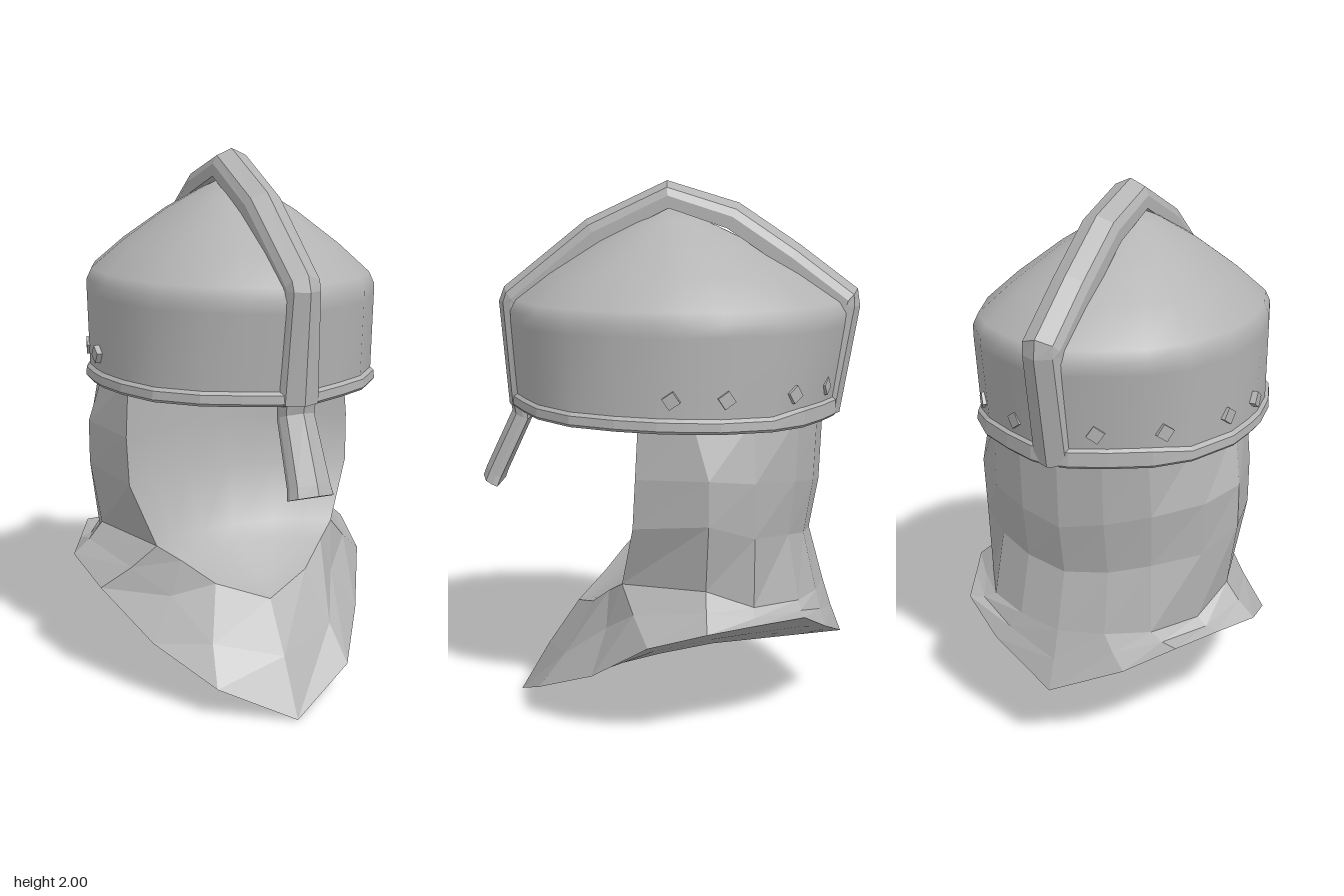
import * as THREE from 'three';
import { mergeVertices } from 'three/addons/utils/BufferGeometryUtils.js';

const steel = new THREE.MeshStandardMaterial({ color: 0xb3b3b3, side: THREE.DoubleSide });
steel.name = 'grey steel';

const mirror = ([x, y, z]) => [-x, y, z];
const lerp = (a, b, t) => a.map((v, i) => v + (b[i] - v) * t);
// Half outline on +x (front to back) made into a closed loop
const loop = (half) => [...half, ...half.slice(1, -1).reverse().map(mirror), half[0]];

// Surface through rows of points (rows run downward, columns run to the right)
function grid(rows, flat) {
  const pos = [];
  for (let i = 0; i < rows.length - 1; i++) {
    for (let j = 0; j < rows[i].length - 1; j++) {
      const a = rows[i][j], b = rows[i][j + 1], c = rows[i + 1][j + 1], d = rows[i + 1][j];
      pos.push(...a, ...d, ...b, ...b, ...d, ...c);
    }
  }
  let g = new THREE.BufferGeometry();
  g.setAttribute('position', new THREE.Float32BufferAttribute(pos, 3));
  if (!flat) g = mergeVertices(g, 1e-4);
  g.computeVertexNormals();
  return g;
}

// Ridged bar swept along a [z, y] path in the middle plane
function ridgedBar(path, widths, depth) {
  const rows = path.map(([z, y], i) => {
    const p = path[Math.max(i - 1, 0)], q = path[Math.min(i + 1, path.length - 1)];
    const tz = q[0] - p[0], ty = q[1] - p[1], l = Math.hypot(tz, ty);
    const w = widths[Math.min(i, widths.length - 1)];
    const at = (x, d) => [x, y + (tz / l) * d, z - (ty / l) * d];
    return [at(-w, depth), at(-w, 0.055), at(-w * 0.8, 0.025), at(0, 0),
      at(w * 0.8, 0.025), at(w, 0.055), at(w, depth), at(-w, depth)];
  });
  const cap = (row) => row.map(() => lerp(row[3], lerp(row[0], row[6], 0.5), 0.5));
  return grid([cap(rows[0]), ...rows, cap(rows[rows.length - 1])].reverse(), true);
}

export function createModel() {
  const model = new THREE.Group();
  const add = (name, geometry) => {
    const m = new THREE.Mesh(geometry, steel);
    m.name = name;
    model.add(m);
    return m;
  };

  // Helmet plan outline, [x, z] from front to back
  const plan = [[0, 0.6], [0.07, 0.58], [0.19, 0.52], [0.308, 0.45], [0.426, 0.315], [0.482, 0.15], [0.505, 0],
    [0.503, -0.1], [0.49, -0.23], [0.414, -0.42], [0.316, -0.53], [0.19, -0.605], [0.07, -0.66], [0, -0.67]];
  const ring = (s, y, back = 1) => loop(plan.map(([x, z]) => [x * s, y, z * s * (z < 0 ? back : 0.5 + back / 2)]));

  // Skull of the helmet: upright wall and a conical crown
  add('dome', grid([ring(0, 1.91), ring(0.2, 1.86), ring(0.45, 1.782), ring(0.75, 1.665), ring(0.965, 1.565),
    ring(1, 1.525), ring(1.003, 1.48, 0.99), ring(1, 1.19, 0.93)]));
  add('helmetUnderside', grid([ring(0.98, 1.19, 0.93), ring(0, 1.19)]));

  // Rim band along the lower edge, a little deeper at the back
  const rimRow = (s, y, rise) => ring(s, y, 0.93).map(([x, yy, z]) =>
    [x, yy + 0.015 * z + (z < -0.42 ? rise : 0), z]);
  add('rimBand', grid([rimRow(0.99, 1.212, 0.02), rimRow(1.025, 1.195, 0.02), rimRow(1.03, 1.165, 0),
    rimRow(1.015, 1.155, 0), rimRow(0.94, 1.16, 0), rimRow(0.94, 1.2, 0)], true));

  // Crest from brow to nape, and the nose guard
  add('crest', ridgedBar([[0.605, 1.165], [0.636, 1.555], [0.615, 1.61], [0.3, 1.86], [0, 2], [-0.265, 1.92],
    [-0.49, 1.77], [-0.705, 1.61], [-0.715, 1.545], [-0.65, 1.147]],
  [0.078, 0.062, 0.064, 0.07, 0.072, 0.072, 0.07, 0.07, 0.07, 0.075], 0.1));
  add('noseGuard', ridgedBar([[0.715, 0.882], [0.7, 0.92], [0.595, 1.14], [0.605, 1.19]],
    [0.084, 0.078, 0.066, 0.07], 0.075));

  // Rivets above the rim
  for (const side of [1, -1]) {
    for (const [x, z, turn] of [[0.508, -0.05, 1.55], [0.477, -0.235, 1.85], [0.345, -0.465, 2.3], [0.15, -0.58, 2.75]]) {
      const r = add('rivet', new THREE.BoxGeometry(0.046, 0.046, 0.035));
      r.rotation.order = 'YXZ';
      r.position.set(side * x, 1.27, z);
      r.rotation.set(0, side * turn, side * 0.6);
    }
  }

  // Neck columns of the hood, from the face opening to the nape
  const neck = [
    [[0.44, 1.19, 0.07], [0.455, 0.98, 0.08], [0.45, 0.8, 0.09], [0.365, 0.57, 0.138]],
    [[0.47, 1.19, -0.12], [0.513, 0.99, -0.18], [0.513, 0.83, -0.18], [0.475, 0.585, -0.17]],
    [[0.41, 1.19, -0.33], [0.45, 0.97, -0.34], [0.44, 0.77, -0.34], [0.43, 0.515, -0.34]],
    [[0.3, 1.19, -0.49], [0.31, 0.95, -0.48], [0.3, 0.75, -0.46], [0.32, 0.51, -0.5]],
    [[0.16, 1.19, -0.56], [0.16, 0.92, -0.55], [0.16, 0.72, -0.52], [0.17, 0.5, -0.57]],
    [[0, 1.19, -0.588], [0, 0.89, -0.578], [0, 0.7, -0.546], [0, 0.49, -0.604]],
  ];
  const neckAll = [...neck, ...neck.slice(0, -1).reverse().map((c) => c.map(mirror))];
  add('hoodNeck', grid([0, 1, 2, 3].map((r) => neckAll.map((c) => c[r])), true));

  // Flared collar: top, middle and edge of each column, front to back
  const edges = [[0.55, 0.395, 0.03], [0.588, 0.465, -0.18], [0.51, 0.473, -0.34],
    [0.424, 0.48, -0.52], [0.26, 0.39, -0.605], [0, 0.28, -0.678]];
  const chin = [
    [[0, 0.38, 0.35], [0, 0.2, 0.47], [0, 0, 0.585]],
    [[0.185, 0.44, 0.27], [0.24, 0.25, 0.37], [0.265, 0.12, 0.47]],
    [[0.29, 0.52, 0.195], [0.335, 0.39, 0.2], [0.424, 0.235, 0.245]],
  ];
  const collar = [...chin, ...neck.map((c, i) => {
    const mid = lerp(c[3], edges[i], 0.45);
    mid[1] -= 0.01;
    return [c[3], mid, edges[i]];
  })];
  add('hoodCollar', grid([0, 1, 2].map((r) => loop(collar.map((c) => c[r]))), true));

  // Sagging smooth surface closing the collar from below
  const hem = collar.map((c) => c[2]);
  const keelY = (z) => (z > -0.1 ? 0.2 * (0.585 - z) / 0.685 : 0.2 + 0.08 * (-0.1 - z) / 0.578);
  const hemRows = [0, 0.5, 1].map((t) => loop(hem.map((p) => lerp(p, [0, keelY(p[2]), p[2]], t))));
  add('collarUnderside', grid(hemRows));

  // Smooth, slightly hollow surface inside the face opening
  const opening = [...neck[0], ...chin.map((c) => c[0]).reverse()];
  const across = [-1, -0.75, -0.4, 0, 0.4, 0.75, 1];
  add('faceHollow', grid(opening.map(([x, y, z]) =>
    across.map((u) => [x * u, y, z - 0.28 * x * (1 - u * u)]))));

  return model;
}
